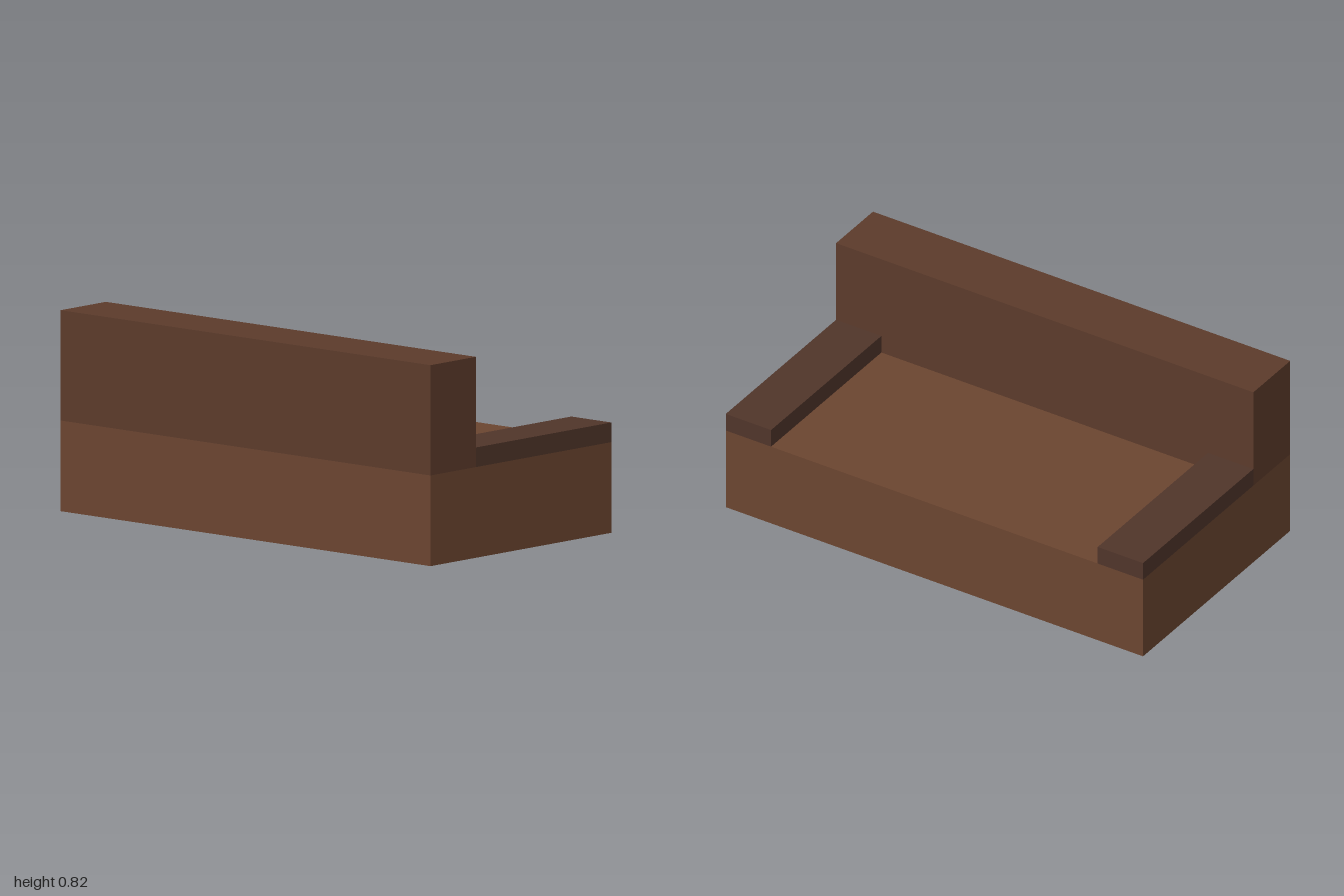
import * as THREE from 'three';

// Box given by its minimum and maximum corners
function block(name, color, min, max) {
  const size = max.map((v, i) => v - min[i]);
  const mesh = new THREE.Mesh(
    new THREE.BoxGeometry(...size),
    new THREE.MeshStandardMaterial({ color })
  );
  mesh.position.set(...min.map((v, i) => (v + max[i]) / 2));
  mesh.name = name;
  return mesh;
}

export function createModel() {
  const sofa = new THREE.Group();
  sofa.name = 'sofa';

  const depth = 0.545; // half of the full depth
  const seatTop = 0.37;
  const backFace = 0.272; // where the backrest meets the seat

  // Solid seat base
  sofa.add(block('seat', 0x6b4530, [-1, 0, -depth], [1, seatTop, depth]));

  // Tall backrest across the full width
  sofa.add(block('backrest', 0x5c3b2b, [-1, seatTop, backFace], [1, 0.82, depth]));

  // Low armrests, one at each end
  sofa.add(block('leftArmrest', 0x50352a, [0.783, seatTop, -depth], [1, 0.45, backFace]));
  sofa.add(block('rightArmrest', 0x50352a, [-1, seatTop, -depth], [-0.783, 0.45, backFace]));

  return sofa;
}
